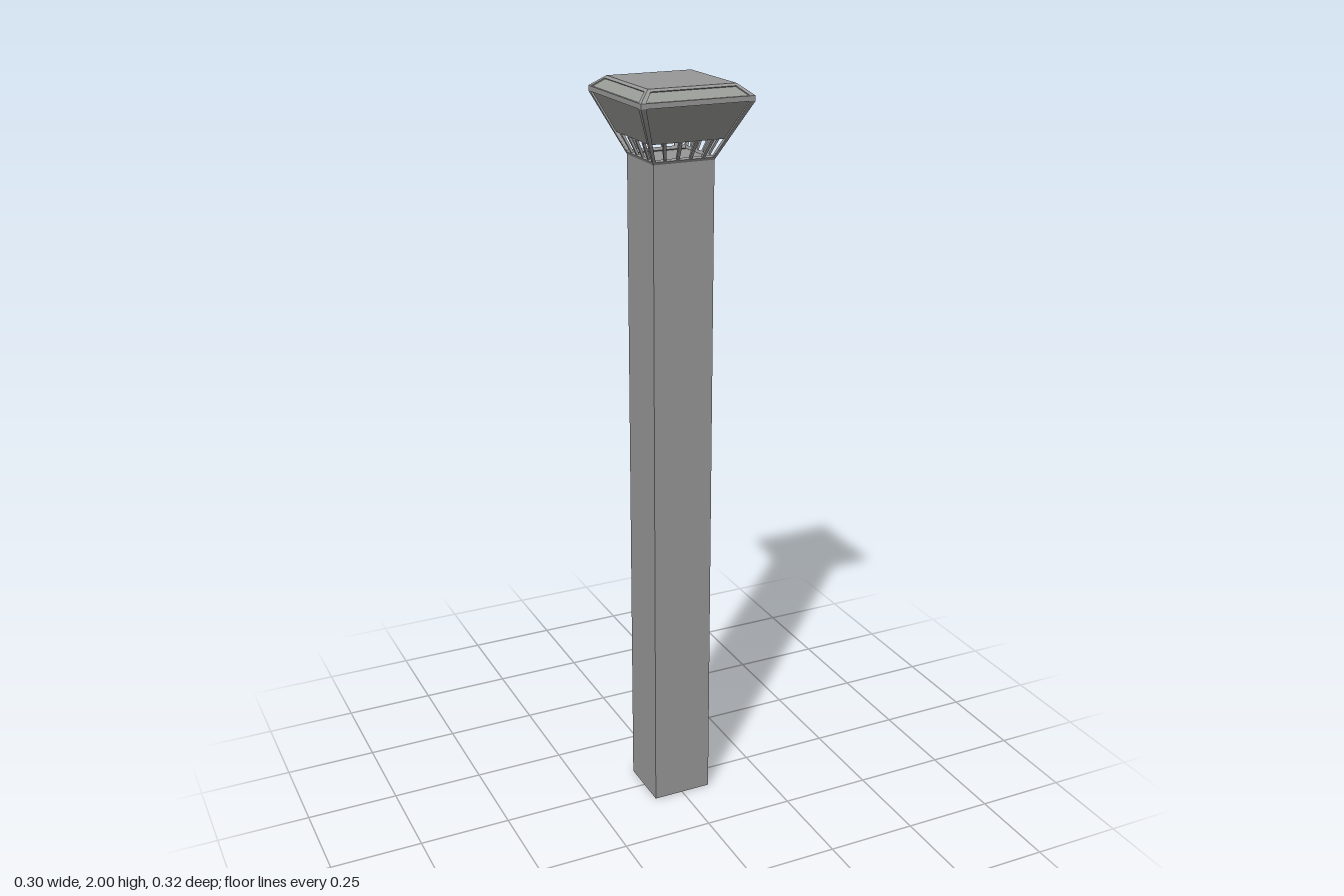
import * as THREE from 'three';

const V = (x, y, z) => new THREE.Vector3(x, y, z);

// Rectangular outline of the lantern head at each height
const base = { x: 0.083, z: 0.079, y: 1.81 };
const ridge = { x: 0.151, z: 0.16, y: 1.96 };
const shoulder = { x: 0.151, z: 0.16, y: 1.973 };
const roof = { x: 0.117, z: 0.124, y: 2.0 };

const mix = (a, b, k) => ({
  x: a.x + (b.x - a.x) * k,
  z: a.z + (b.z - a.z) * k,
  y: a.y + (b.y - a.y) * k,
});

// Point on side 0..3 of an outline, t running left to right seen from outside
function sidePoint(level, side, t) {
  const corners = [[-1, 1], [1, 1], [1, -1], [-1, -1]];
  const at = (i) => V(corners[i % 4][0] * level.x, level.y, corners[i % 4][1] * level.z);
  return at(side).lerp(at(side + 1), t);
}

// Thick sloped plate between two outlines, set back from the surface by inset
function plate(side, t0, t1, low, high, inset, thick) {
  const quad = [
    sidePoint(low, side, t0), sidePoint(low, side, t1),
    sidePoint(high, side, t1), sidePoint(high, side, t0),
  ];
  const n = quad[1].clone().sub(quad[0]).cross(quad[3].clone().sub(quad[0])).normalize();
  const p = [
    ...quad.map((q) => q.clone().addScaledVector(n, -inset)),
    ...quad.map((q) => q.clone().addScaledVector(n, -inset - thick)),
  ];
  const faces = [[0, 1, 2, 3], [5, 4, 7, 6], [4, 5, 1, 0], [3, 2, 6, 7], [4, 0, 3, 7], [1, 5, 6, 2]];
  const pts = faces.flatMap(([a, b, c, d]) => [p[a], p[b], p[c], p[a], p[c], p[d]]);
  const g = new THREE.BufferGeometry().setFromPoints(pts);
  g.computeVertexNormals();
  return g;
}

export function createModel() {
  const model = new THREE.Group();
  model.name = 'lanternColumn';
  const stone = new THREE.MeshStandardMaterial({ name: 'grey', color: 0x999999, side: THREE.DoubleSide });
  const panelGrey = new THREE.MeshStandardMaterial({ name: 'panelGrey', color: 0x999b97, side: THREE.DoubleSide });

  const add = (name, geometry, material, parent) => {
    const mesh = new THREE.Mesh(geometry, material);
    mesh.name = name;
    parent.add(mesh);
    return mesh;
  };

  // Hollow shaft, open at the foot
  const shaft = new THREE.Group();
  shaft.name = 'shaft';
  model.add(shaft);
  for (let i = 0; i < 4; i++) {
    const front = i % 2 === 0;
    const wall = add('shaftWall', new THREE.PlaneGeometry(2 * (front ? base.x : base.z), base.y), stone, shaft);
    const r = front ? base.z : base.x;
    wall.position.set(Math.sin(i * Math.PI / 2) * r, base.y / 2, Math.cos(i * Math.PI / 2) * r);
    wall.rotation.y = i * Math.PI / 2;
  }

  // Flared head
  const head = new THREE.Group();
  head.name = 'head';
  model.add(head);
  const sill = mix(base, ridge, 0.05);
  const lintel = mix(base, ridge, 0.35);
  const roofRail = mix(shoulder, roof, 0.8);
  const rib = 0.045;
  for (let s = 0; s < 4; s++) {
    // Corner ribs
    for (const [a, b] of [[0, rib], [1 - rib, 1]]) {
      add('lowerCornerRib', plate(s, a, b, base, ridge, 0, 0.008), stone, head);
      add('upperCornerRib', plate(s, a, b, shoulder, roof, 0, 0.008), stone, head);
    }
    // Rails
    add('sillRail', plate(s, rib, 1 - rib, base, sill, 0, 0.008), stone, head);
    add('ridgeRail', plate(s, 0, 1, ridge, shoulder, 0, 0.006), stone, head);
    add('roofRail', plate(s, rib, 1 - rib, roofRail, roof, 0, 0.006), stone, head);
    // Recessed panels
    add('lowerPanel', plate(s, rib, 1 - rib, lintel, ridge, 0.004, 0.004), panelGrey, head);
    add('upperPanel', plate(s, rib, 1 - rib, shoulder, roofRail, 0.003, 0.003), panelGrey, head);
    // Window bars
    for (let k = 1; k < 5; k++) {
      const t = k / 5;
      add('windowBar', plate(s, t - 0.022, t + 0.022, sill, lintel, 0.002, 0.006), stone, head);
    }
  }

  // Flat roof and floor of the head
  const top = add('roofPlate', new THREE.BoxGeometry(2 * roof.x, 0.004, 2 * roof.z), stone, head);
  top.position.y = roof.y - 0.002;
  const floor = add('headFloor', new THREE.BoxGeometry(2 * base.x, 0.004, 2 * base.z), stone, head);
  floor.position.y = base.y - 0.002;

  return model;
}
